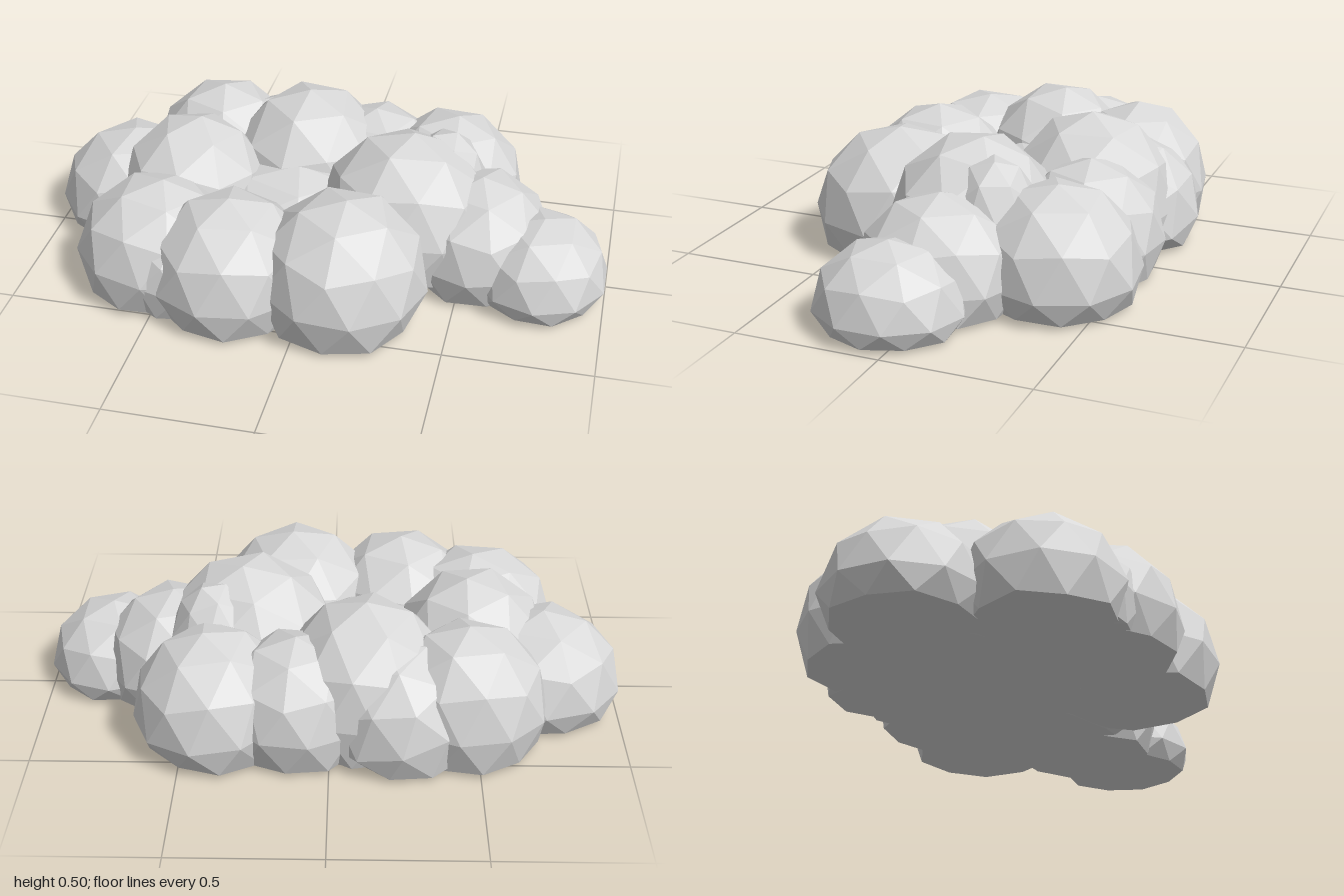
import * as THREE from 'three';

// Each puff: name, centre x, y, z, half width, half depth, top height, tilt, turn
const PUFFS = [
  ['frontRightPuff', 0.13, 0.15, 0.335, 0.295, 0.31, 0.45, 0.5, 0.3],
  ['frontMiddlePuff', -0.25, 0.13, 0.36, 0.285, 0.285, 0.42, 0.55, 1.1],
  ['frontGapPuff', -0.43, 0.12, 0.33, 0.22, 0.24, 0.34, 0.4, 0.2],
  ['frontLeftPuff', -0.53, 0.13, 0.28, 0.285, 0.28, 0.40, 0.45, 0.7],
  ['leftEndPuff', -0.73, 0.10, -0.10, 0.28, 0.275, 0.37, 0.55, 0.0],
  ['leftTopPuff', -0.49, 0.17, -0.03, 0.275, 0.275, 0.475, 0.4, 0.9],
  ['backLeftPuff', -0.46, 0.15, -0.35, 0.275, 0.26, 0.45, 0.55, 0.5],
  ['backMiddlePuff', -0.12, 0.17, -0.285, 0.295, 0.305, 0.50, 0.55, 1.4],
  ['backLowPuff', -0.24, 0.12, -0.38, 0.26, 0.265, 0.40, 0.3, 0.0],
  ['backInnerPuff', 0.11, 0.14, -0.36, 0.26, 0.26, 0.41, 0.55, 0.8],
  ['backRightPuff', 0.39, 0.13, -0.345, 0.275, 0.285, 0.42, 0.45, 0.4],
  ['rightTopPuff', 0.285, 0.19, -0.01, 0.31, 0.295, 0.51, 0.4, 1.2],
  ['rightCrestPuff', 0.40, 0.23, -0.13, 0.16, 0.16, 0.48, 0.3, 0.4],
  ['rightPuff', 0.55, 0.12, -0.005, 0.26, 0.28, 0.39, 0.55, 0.6],
  ['rightEndPuff', 0.775, 0.08, 0.07, 0.235, 0.255, 0.30, 0.55, 0.0],
  ['middleFillPuff', -0.12, 0.10, -0.03, 0.36, 0.30, 0.33, 0.5, 0.5],
];
const FLOOR = 0.02;

// Faceted ball whose underside is pressed almost flat
function makePuff([name, x, y, z, rx, rz, top, tilt, turn], material) {
  const geometry = new THREE.IcosahedronGeometry(1, 1);
  geometry.rotateZ(tilt);
  geometry.rotateY(turn);
  geometry.scale(rx, top - y, rz);
  geometry.translate(x, y, z);
  const p = geometry.attributes.position;
  for (let i = 0; i < p.count; i++) {
    const height = p.getY(i);
    if (height < FLOOR) p.setY(i, FLOOR + (height - FLOOR) * 0.09);
  }
  geometry.computeVertexNormals();
  const mesh = new THREE.Mesh(geometry, material);
  mesh.name = name;
  return mesh;
}

export function createModel() {
  const cloudGrey = new THREE.MeshStandardMaterial({ color: 0xd8d8d8, flatShading: true });
  cloudGrey.name = 'cloudGrey';

  const cloud = new THREE.Group();
  cloud.name = 'cloud';
  for (const puff of PUFFS) cloud.add(makePuff(puff, cloudGrey));
  return cloud;
}
